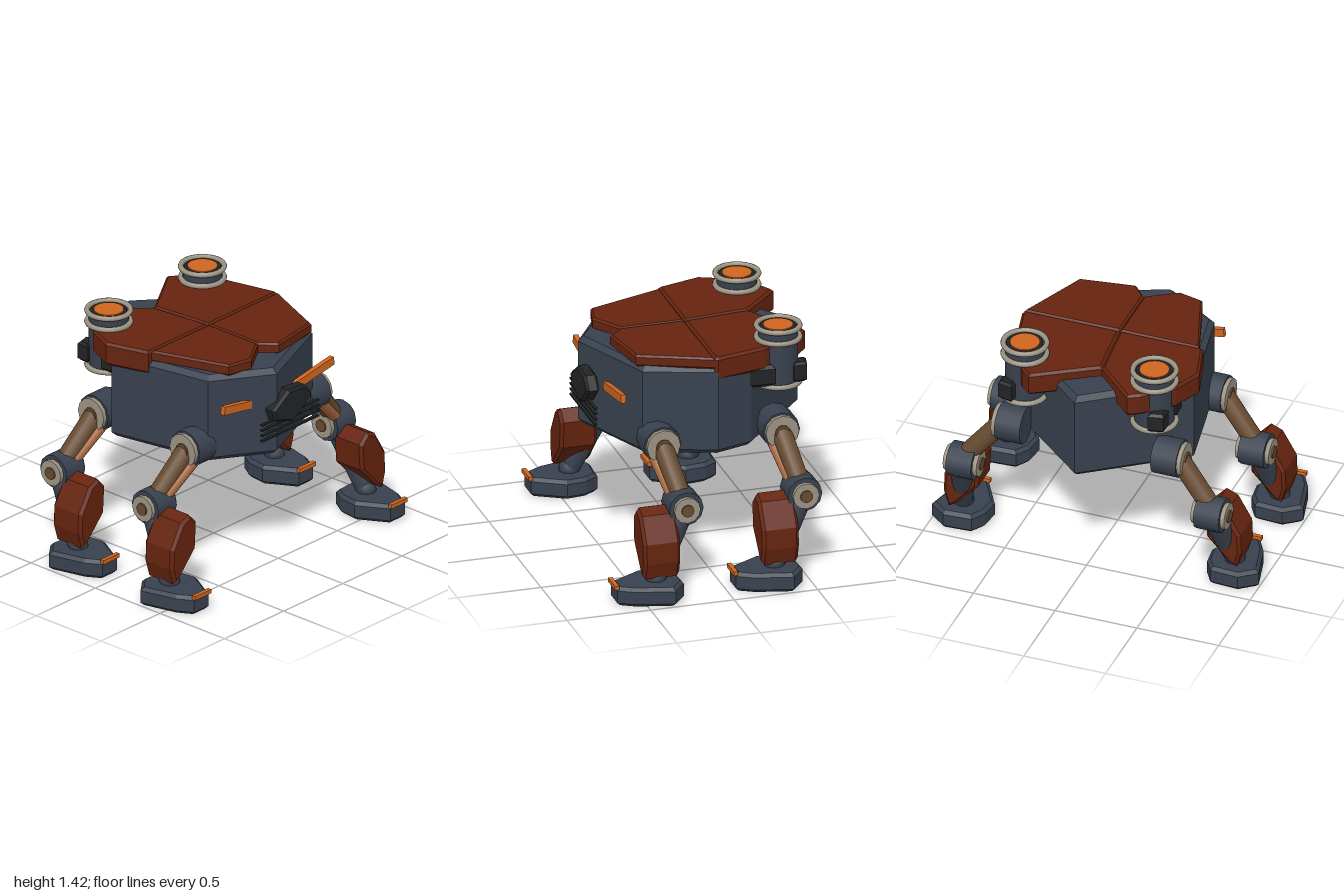
import * as THREE from 'three';

const mat = (name, color) => {
  const m = new THREE.MeshStandardMaterial({ color });
  m.name = name;
  return m;
};

export function createModel() {
  const slate = mat('slate hull', 0x38414e);
  const red = mat('rust red armour', 0x66240f);
  const orange = mat('orange glow', 0xd0661f);
  const beige = mat('beige metal', 0x9c9383);
  const brown = mat('brown strut', 0x674a2f);
  const copper = mat('copper piston', 0xa8693f);
  const charcoal = mat('charcoal', 0x222325);

  const model = new THREE.Group();
  model.name = 'walker';
  const V = (x, y, z) => new THREE.Vector3(x, y, z);

  const add = (parent, name, geo, material, x = 0, y = 0, z = 0) => {
    const m = new THREE.Mesh(geo, material);
    m.name = name;
    m.position.set(x, y, z);
    parent.add(m);
    return m;
  };

  // Bevelled prism along z, from an x/y outline
  const prism = (pts, z0, z1, bevel) => {
    const shape = new THREE.Shape(pts.map(([x, y]) => new THREE.Vector2(x, y)));
    const geo = new THREE.ExtrudeGeometry(shape, {
      depth: z1 - z0 - 2 * bevel, bevelEnabled: bevel > 0, bevelThickness: bevel,
      bevelSize: bevel, bevelOffset: -bevel, bevelSegments: 1,
    });
    return geo.translate(0, 0, z0 + bevel);
  };
  // Bevelled slab along y, from an x/z outline
  const slab = (pts, y0, y1, bevel) =>
    prism(pts.map(([x, z]) => [x, -z]), y0, y1, bevel).rotateX(-Math.PI / 2);

  // Round strut between two points
  const strut = (parent, name, a, b, ra, rb, material) => {
    const m = add(parent, name, new THREE.CylinderGeometry(rb, ra, a.distanceTo(b), 16), material);
    m.position.copy(a).add(b).multiplyScalar(0.5);
    m.quaternion.setFromUnitVectors(V(0, 1, 0), b.clone().sub(a).normalize());
    return m;
  };
  // Cylinder lying along x
  const axle = (parent, name, r, x0, x1, y, z, material, sides = 12) => {
    const geo = new THREE.CylinderGeometry(r, r, Math.abs(x1 - x0), sides).rotateZ(Math.PI / 2);
    add(parent, name, geo, material, (x0 + x1) / 2, y, z);
  };

  // Hull
  add(model, 'hull', slab([
    [0, -0.69], [0.5, -0.26], [0.57, -0.04], [0.43, 0.37], [-0.11, 0.59],
    [-0.45, 0.37], [-0.57, -0.27],
  ], 0.72, 1.26, 0.03), slate);

  // Four armour plates on the roof, the rear pair hanging lower
  add(model, 'frontLeftArmour', slab([
    [-0.02, -0.02], [0.565, -0.02], [0.39, 0.4], [0.06, 0.45], [-0.02, 0.36],
  ], 1.25, 1.32, 0.012), red);
  add(model, 'frontRightArmour', slab([
    [-0.02, -0.02], [-0.02, 0.36], [-0.2, 0.475], [-0.35, 0.44], [-0.505, -0.02],
  ], 1.25, 1.32, 0.012), red);
  add(model, 'rearLeftArmour', slab([
    [-0.02, -0.02], [-0.06, -0.41], [0.3, -0.64], [0.36, -0.59], [0.5, -0.34], [0.57, -0.04], [0.56, -0.02],
  ], 1.18, 1.32, 0.015), red);
  add(model, 'rearRightArmour', slab([
    [-0.02, -0.02], [-0.06, -0.41], [-0.3, -0.64], [-0.37, -0.6], [-0.53, -0.45], [-0.605, -0.28], [-0.53, -0.02],
  ], 1.18, 1.32, 0.015), red);

  // Face: sensor plate, vent slats and angled light bars
  add(model, 'sensor', prism([
    [-0.17, 1.02], [-0.04, 1.11], [0.1, 1.1], [0.165, 1.03], [0.08, 0.94], [0, 0.9], [-0.15, 0.95],
  ], 0.54, 0.62, 0.015), charcoal);
  for (let i = 0; i < 4; i++) {
    add(model, 'ventSlat', new THREE.BoxGeometry(0.48, 0.01, 0.02), charcoal, 0, 0.95 - i * 0.033, 0.59);
  }
  for (const s of [-1, 1]) {
    const bar = add(model, 'lightBar', new THREE.BoxGeometry(0.35, 0.05, 0.03), orange, s * 0.29, 1.063, 0.495);
    bar.rotation.z = s * 0.16;
  }

  // Upright thrusters at the rear corners
  const makeThruster = (s) => {
    const g = new THREE.Group();
    g.name = 'thruster';
    g.position.set(s * 0.396, 0, -0.45);
    model.add(g);
    add(g, 'thrusterBarrel', new THREE.CylinderGeometry(0.115, 0.115, 0.34, 24), slate, 0, 1.23, 0);
    add(g, 'thrusterBase', new THREE.CylinderGeometry(0.125, 0.115, 0.03, 24), slate, 0, 1.06, 0);
    for (const y of [1.065, 1.335, 1.405]) {
      add(g, 'thrusterRing', new THREE.TorusGeometry(0.125, 0.016, 8, 28).rotateX(Math.PI / 2), beige, 0, y, 0);
    }
    add(g, 'thrusterThroat', new THREE.CylinderGeometry(0.105, 0.105, 0.006, 24), charcoal, 0, 1.402, 0);
    add(g, 'thrusterGlow', new THREE.CylinderGeometry(0.086, 0.086, 0.008, 24), orange, 0, 1.407, 0);
    // Mounting brackets before and behind the barrel
    const bracket = slab([
      [s * 0.03, 0.33], [s * 0.1, 0.3], [s * 0.12, 0.05], [s * 0.02, 0.05],
    ], 1.075, 1.205, 0.02);
    add(g, 'frontBracket', bracket, charcoal);
    add(g, 'rearBracket', slab([
      [s * 0.01, -0.08], [s * 0.11, -0.06], [s * 0.11, -0.14], [s * 0.02, -0.16],
    ], 1.08, 1.2, 0.015), charcoal);
  };

  // Leg: shoulder, thigh, knee, shin armour and foot
  const makeLeg = (s, dz) => {
    const g = new THREE.Group();
    g.name = dz ? 'rearLeg' : 'frontLeg';
    g.position.z = dz;
    model.add(g);
    const mirror = (pts) => pts.map(([x, y]) => [s * x, y]);

    axle(g, 'shoulder', 0.112, s * 0.4, s * 0.555, 0.815, 0.29, slate);
    axle(g, 'shoulderRing', 0.1, s * 0.55, s * 0.58, 0.815, 0.29, beige);
    axle(g, 'shoulderHub', 0.045, s * 0.57, s * 0.59, 0.815, 0.29, brown);

    strut(g, 'thigh', V(s * 0.53, 0.82, 0.29), V(s * 0.77, 0.54, 0.235), 0.06, 0.058, brown);
    strut(g, 'thighPiston', V(s * 0.49, 0.79, 0.35), V(s * 0.74, 0.55, 0.28), 0.032, 0.032, copper);

    axle(g, 'knee', 0.103, s * 0.68, s * 0.835, 0.525, 0.235, slate);
    axle(g, 'kneeRing', 0.078, s * 0.655, s * 0.86, 0.525, 0.235, beige);
    axle(g, 'kneeHub', 0.037, s * 0.645, s * 0.87, 0.525, 0.235, brown);

    strut(g, 'shin', V(s * 0.77, 0.5, 0.245), V(s * 0.83, 0.13, 0.41), 0.075, 0.055, slate);
    add(g, 'ankle', new THREE.SphereGeometry(0.06, 12, 8), slate, s * 0.83, 0.125, 0.42);

    add(g, 'shinArmour', prism(mirror([
      [0.75, 0.535], [0.82, 0.505], [0.905, 0.36], [0.91, 0.24], [0.88, 0.14],
      [0.83, 0.17], [0.7, 0.31], [0.69, 0.47],
    ]), 0.29, 0.51, 0.018), red);

    add(g, 'foot', slab(mirror([
      [0.73, 0.28], [0.9, 0.27], [1.0, 0.35], [0.945, 0.57], [0.89, 0.665], [0.77, 0.665], [0.665, 0.48], [0.68, 0.36],
    ]), 0, 0.115, 0.02), slate);
    add(g, 'toeLight', new THREE.BoxGeometry(0.135, 0.025, 0.025), orange, s * 0.83, 0.115, 0.668);
  };

  for (const s of [-1, 1]) {
    makeThruster(s);
    makeLeg(s, 0);
    makeLeg(s, -0.71);
  }
  return model;
}
